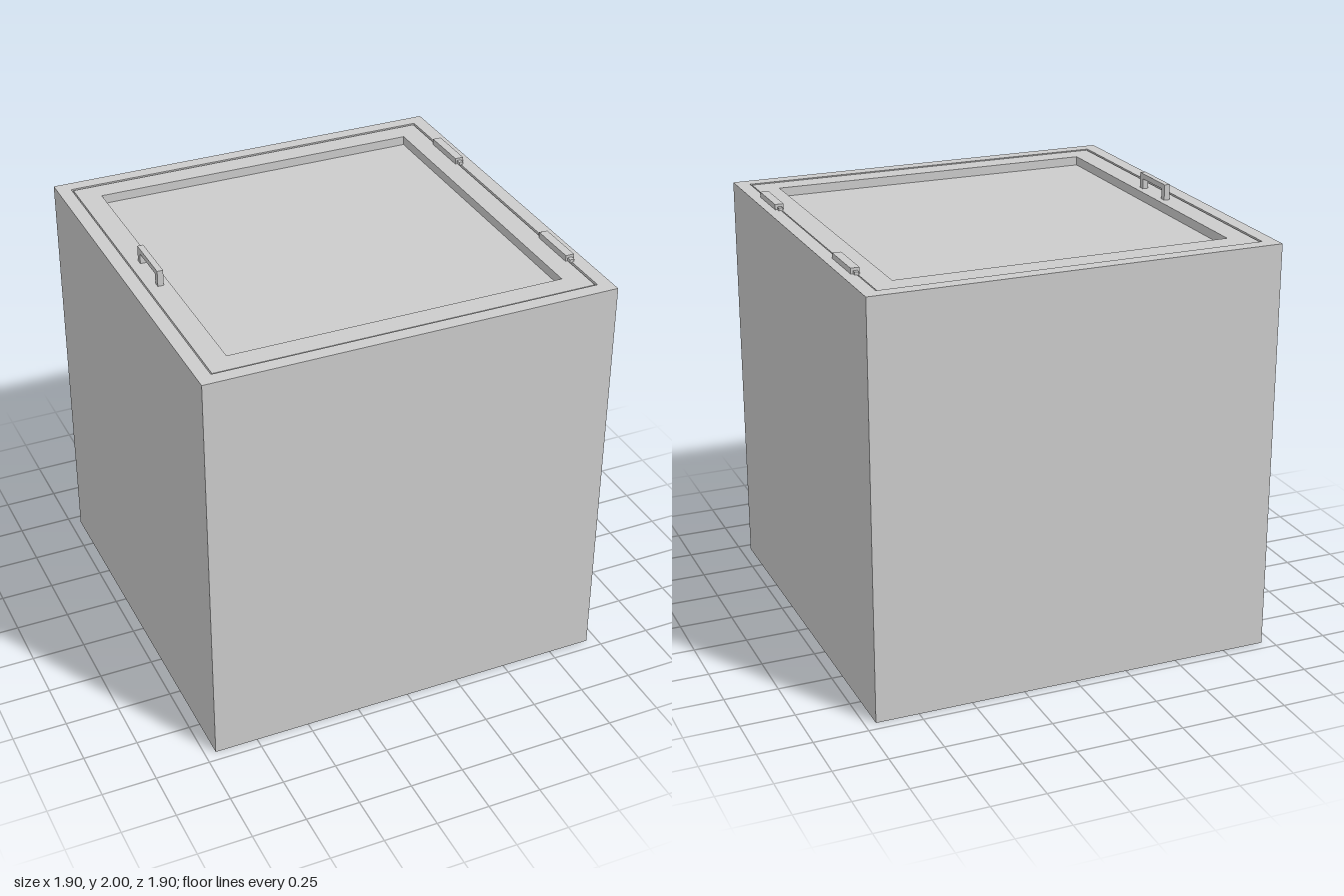
import * as THREE from 'three';

const material = new THREE.MeshStandardMaterial({ color: 0xcccccc, flatShading: true });
const TOP = 1.93;

// Square-plan solid from a profile of [half width, height], swept around y in four flat sides
function squareLathe(name, profile) {
  const points = profile.map(([h, y]) => new THREE.Vector2(h * Math.SQRT2, y));
  const geometry = new THREE.LatheGeometry(points, 4, Math.PI / 4).toNonIndexed();
  geometry.computeVertexNormals();
  const mesh = new THREE.Mesh(geometry, material);
  mesh.name = name;
  return mesh;
}

// Box given by its minimum and maximum corners
function box(name, [x0, y0, z0], [x1, y1, z1]) {
  const mesh = new THREE.Mesh(new THREE.BoxGeometry(x1 - x0, y1 - y0, z1 - z0), material);
  mesh.position.set((x0 + x1) / 2, (y0 + y1) / 2, (z0 + z1) / 2);
  mesh.name = name;
  return mesh;
}

export function createModel() {
  const model = new THREE.Group();
  model.name = 'hatchBox';

  // Cube body with a shallow seat for the hatch
  model.add(squareLathe('body', [
    [0, 0], [0.95, 0], [0.95, TOP], [0.886, TOP], [0.886, TOP - 0.06], [0, TOP - 0.06],
  ]));

  // Hatch with a raised border around a sunken panel
  model.add(squareLathe('hatch', [
    [0.878, TOP - 0.059], [0.878, TOP - 0.003], [0.775, TOP - 0.003],
    [0.775, TOP - 0.045], [0, TOP - 0.045],
  ]));

  // Bracket handle: one U-shaped outline, extruded across its width
  const outline = new THREE.Shape([
    [-0.13, TOP - 0.005], [-0.1, TOP - 0.005], [-0.1, 1.975], [0.09, 1.975],
    [0.09, TOP - 0.005], [0.12, TOP - 0.005], [0.12, 2], [-0.13, 2],
  ].map(([x, y]) => new THREE.Vector2(x, y)));
  const handle = new THREE.Mesh(
    new THREE.ExtrudeGeometry(outline, { depth: 0.027, bevelEnabled: false }), material);
  handle.rotation.y = Math.PI / 2;
  handle.position.x = -0.832;
  handle.name = 'handle';
  model.add(handle);

  // Two hinges on the opposite edge, each a block with a longer pin
  for (const z of [0.528, -0.522]) {
    const hinge = new THREE.Group();
    hinge.name = z > 0 ? 'frontHinge' : 'backHinge';
    hinge.add(
      box('hingeBlock', [0.867, TOP - 0.004, z - 0.118], [0.907, 1.955, z + 0.118]),
      box('hingePin', [0.877, TOP - 0.004, z - 0.14], [0.897, 1.943, z + 0.14]),
    );
    model.add(hinge);
  }

  return model;
}
